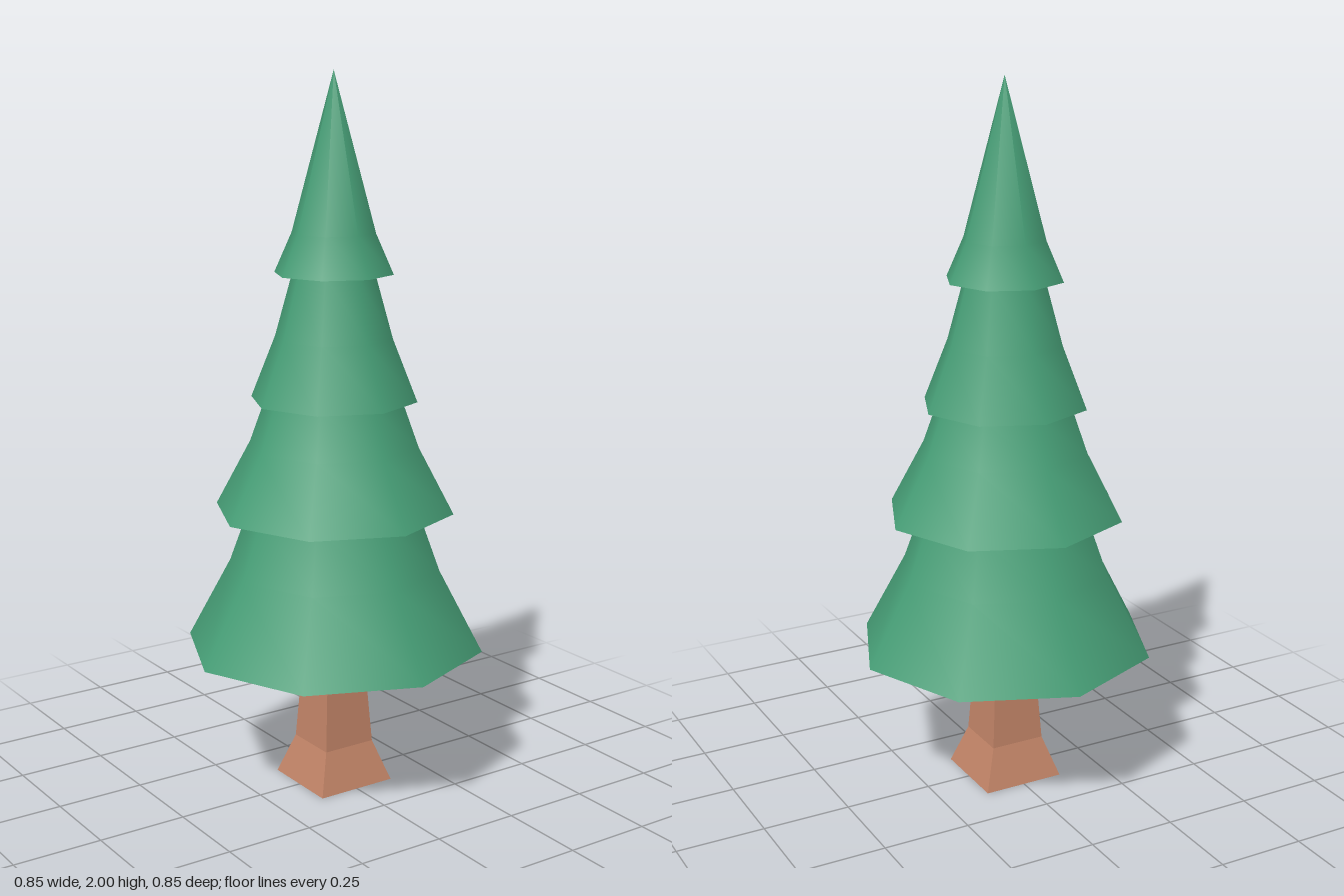
import * as THREE from 'three';

export function createModel() {
  const model = new THREE.Group();
  model.name = 'pineTree';

  const foliage = new THREE.MeshStandardMaterial({ color: 0x479f77 });
  foliage.name = 'foliage green';
  const bark = new THREE.MeshStandardMaterial({ color: 0xc28467, flatShading: true });
  bark.name = 'bark brown';

  // Revolve a [radius, height] profile into a faceted solid
  const lathe = (name, profile, sides, start, material) => {
    const points = profile.map(([r, y]) => new THREE.Vector2(r, y));
    const mesh = new THREE.Mesh(new THREE.LatheGeometry(points, sides, start), material);
    mesh.name = name;
    return mesh;
  };

  // Square trunk flaring at the foot (half widths turned into corner radii)
  const trunkProfile = [[0, 0], [0.118, 0], [0.079, 0.115], [0.06, 0.405]]
    .map(([half, y]) => [half * Math.SQRT2, y]);
  model.add(lathe('trunk', trunkProfile, 4, Math.PI / 4, bark));

  // Octagonal skirts of branches, lowest first: rim, bend, top
  const tiers = [
    [[0.423, 0.405], [0.3, 0.635], [0.24, 0.8]],
    [[0.337, 0.8], [0.238, 0.985], [0.192, 1.112]],
    [[0.233, 1.112], [0.164, 1.285], [0.115, 1.46]],
    [[0.165, 1.46], [0.116, 1.57], [0, 2]],
  ];
  tiers.forEach((profile, i) => {
    const tier = new THREE.Group();
    tier.name = `branchTier${i + 1}`;
    // Flat underside is separate so the rim stays sharp
    const inner = i === 0 ? 0 : tiers[i - 1][2][0];
    tier.add(
      lathe('skirt', profile, 8, 0, foliage),
      lathe('underside', [[inner, profile[0][1]], profile[0]], 8, 0, foliage),
    );
    model.add(tier);
  });

  return model;
}
